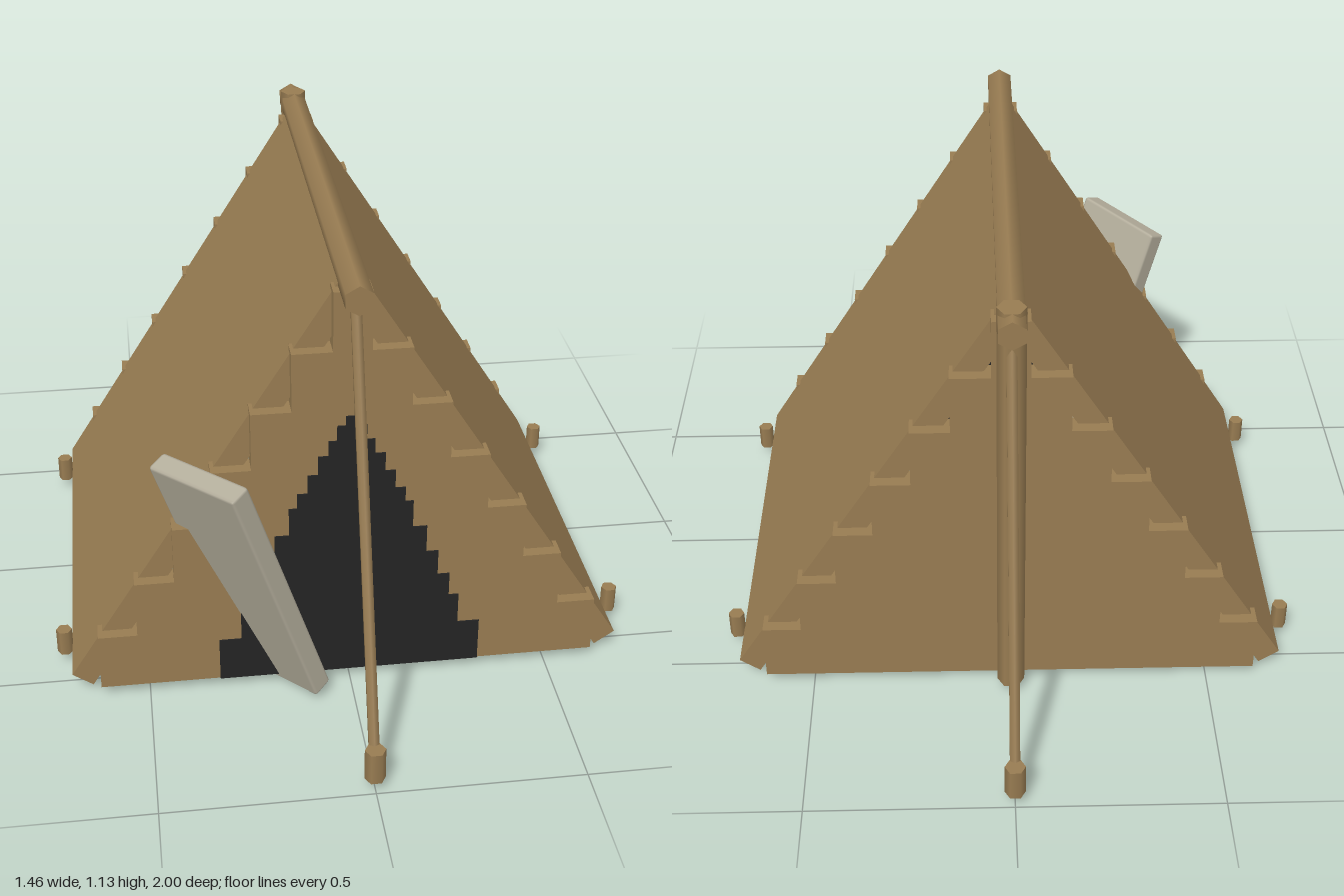
import * as THREE from 'three';
import { RoundedBoxGeometry } from 'three/addons/geometries/RoundedBoxGeometry.js';

const V = (x, y, z) => new THREE.Vector3(x, y, z);

function material(name, color) {
  const m = new THREE.MeshStandardMaterial({ color });
  m.name = name;
  return m;
}

export function createModel() {
  const model = new THREE.Group();
  model.name = 'tent';
  const wood = material('brown', 0x987c52);
  const dark = material('black', 0x242424);
  const grey = material('greyBoard', 0xb4ae9c);

  function add(name, geometry, mat) {
    const mesh = new THREE.Mesh(geometry, mat);
    mesh.name = name;
    model.add(mesh);
    return mesh;
  }

  // six-sided pole between two points
  function pole(name, a, b, radius, turn = 0) {
    const dir = b.clone().sub(a);
    const geometry = new THREE.CylinderGeometry(radius, radius, dir.length(), 6);
    geometry.rotateY(turn);
    const mesh = add(name, geometry, wood);
    mesh.position.copy(a).add(b).multiplyScalar(0.5);
    mesh.quaternion.setFromUnitVectors(V(0, 1, 0), dir.normalize());
    return mesh;
  }

  // extrude an outline along z from z0 to z1
  function slab(name, points, z0, z1, mat) {
    const shape = new THREE.Shape(points.map(([x, y]) => new THREE.Vector2(x, y)));
    const geometry = new THREE.ExtrudeGeometry(shape, { depth: z1 - z0, bevelEnabled: false });
    geometry.translate(0, 0, z0);
    return add(name, geometry, mat);
  }

  // symmetric stepped outline from [halfWidth, top] rows
  function steps(rows, bottom) {
    const right = [];
    let y = bottom;
    for (const [w, top] of rows) {
      right.push([w, y], [w, top]);
      y = top;
    }
    return [...right, ...right.slice().reverse().map(([x, h]) => [-x, h])];
  }

  // two sloping roof panels, open underneath
  for (const s of [1, -1]) {
    const half = [[0, 1.125], [0.03, 1.095], [0.69, 0.055], [0.64, 0.02], [0, 1.03]];
    slab(s > 0 ? 'leftRoof' : 'rightRoof', half.map(([x, y]) => [x * s, y]), -0.54, 0.54, wood);
  }

  // stepped gable planks, front and back
  const rowHeight = 0.15;
  for (const s of [1, -1]) {
    for (let i = 0; i < 7; i++) {
      const plank = add(s > 0 ? 'frontPlank' : 'backPlank',
        new THREE.BoxGeometry(2 * (0.62 - i * 0.0958), rowHeight, 0.055), wood);
      plank.position.set(0, 0.033 + rowHeight * (i + 0.5), s * 0.5425);
    }
  }

  // dark stepped doorway, showing on both faces of the front gable
  const doorRows = [
    [0.325, 0.15], [0.27, 0.235], [0.245, 0.3], [0.215, 0.37], [0.185, 0.445], [0.15, 0.52],
    [0.13, 0.56], [0.105, 0.61], [0.08, 0.66], [0.055, 0.7], [0.035, 0.74], [0.015, 0.765],
  ];
  const door = steps(doorRows, 0.032);
  slab('doorway', door, 0.568, 0.573, dark);
  slab('doorwayInside', door, 0.511, 0.516, dark);

  // ridge beam and back post
  const beam = add('ridgeBeam', new THREE.CylinderGeometry(0.036, 0.036, 1.325, 6), wood);
  beam.rotation.x = Math.PI / 2;
  beam.position.y = 1.104;
  pole('backPost', V(0, 0.035, -0.6), V(0, 1.14, -0.6), 0.034, Math.PI / 6);

  // guy poles with their end pegs
  for (const s of [1, -1]) {
    pole('guyPole', V(0, 1.09, s * 0.6), V(0, 0.04, s * 0.98), 0.014);
    pole('guyPeg', V(0, 0.035, s * 0.977), V(0, 0.118, s * 0.977), 0.025, Math.PI / 6);
    for (const z of [0.415, -0.415]) {
      pole('sidePeg', V(s * 0.708, 0.036, z), V(s * 0.708, 0.103, z), 0.02, Math.PI / 6);
    }
  }

  // board leaning against the front gable
  const up = V(-0.2, 0.65, 0.11).normalize();
  const across = V(0.17, 0.035, 0.205);
  across.addScaledVector(up, -across.dot(up)).normalize();
  const out = across.clone().cross(up);
  const board = add('leaningBoard', new RoundedBoxGeometry(0.275, 0.695, 0.055, 1, 0.008), grey);
  board.quaternion.setFromRotationMatrix(new THREE.Matrix4().makeBasis(across, up, out));
  board.position.set(-0.266, 0.35, 0.595);

  return model;
}
